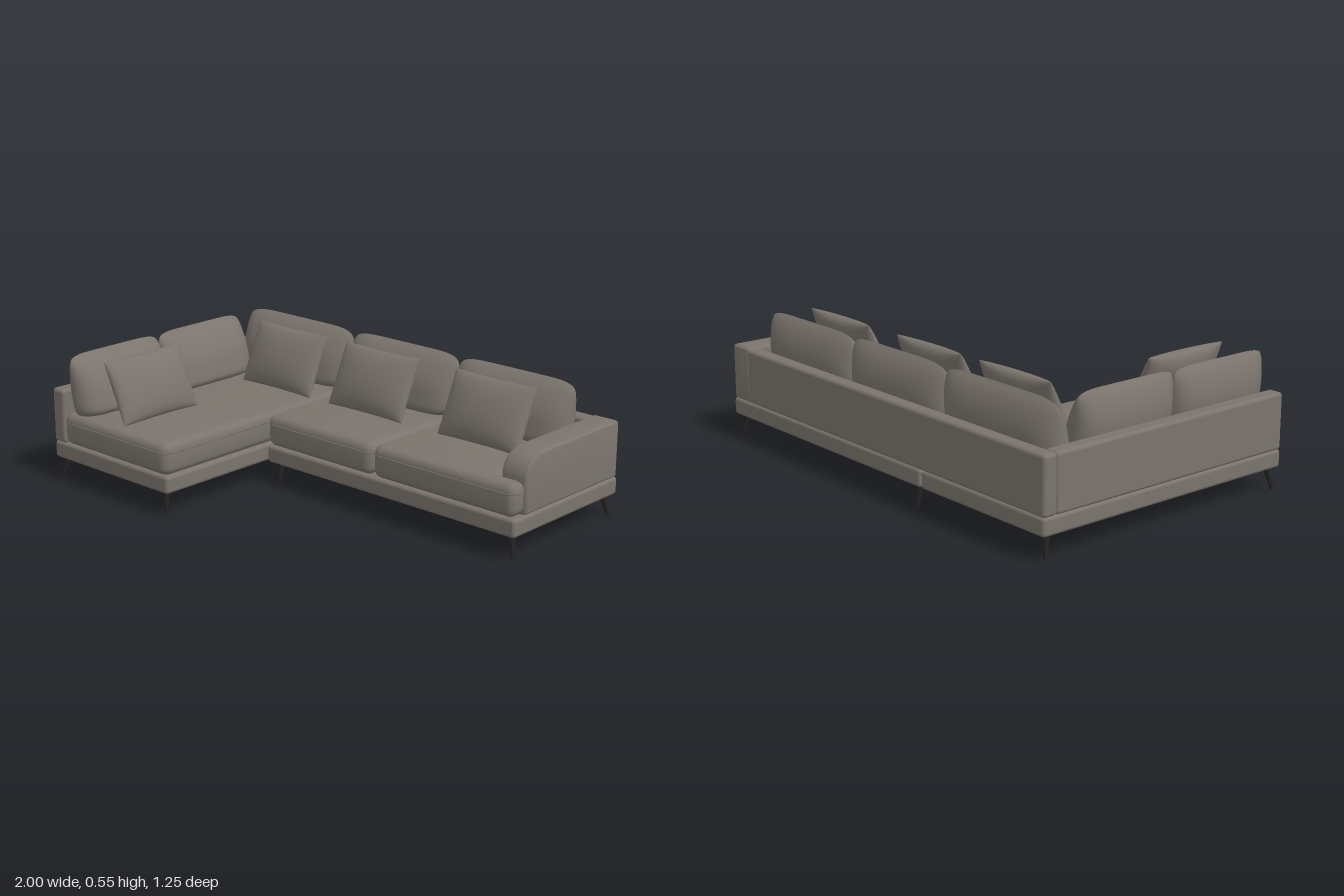
import * as THREE from 'three';
import { toCreasedNormals } from 'three/addons/utils/BufferGeometryUtils.js';
import { RoundedBoxGeometry } from 'three/addons/geometries/RoundedBoxGeometry.js';

const fabric = new THREE.MeshStandardMaterial({ color: 0x7b746d });
fabric.name = 'taupe fabric';
const legMetal = new THREE.MeshStandardMaterial({ color: 0x242322 });
legMetal.name = 'black metal';

export function createModel() {
  const model = new THREE.Group();
  model.name = 'cornerSofa';

  const add = (name, geometry, material = fabric) => {
    const mesh = new THREE.Mesh(geometry, material);
    mesh.name = name;
    model.add(mesh);
    return mesh;
  };

  // Rounded block given by its limits on each axis
  const block = (name, [x0, x1], [y0, y1], [z0, z1], r) => {
    const g = new RoundedBoxGeometry(x1 - x0, y1 - y0, z1 - z0, 3, r);
    add(name, g).position.set((x0 + x1) / 2, (y0 + y1) / 2, (z0 + z1) / 2);
  };

  // Polygon with a rounding radius per corner: [x, y, radius]
  const roundedShape = (corners) => {
    const shape = new THREE.Shape();
    const n = corners.length;
    corners.forEach(([x, y, r], i) => {
      const here = new THREE.Vector2(x, y);
      const toward = (c) => new THREE.Vector2(c[0], c[1]).sub(here).setLength(r).add(here);
      const a = toward(corners[(i + n - 1) % n]);
      const b = toward(corners[(i + 1) % n]);
      if (i === 0) shape.moveTo(a.x, a.y);
      else shape.lineTo(a.x, a.y);
      // cubic close to a circular arc
      const k = 0.55;
      const c1 = a.clone().lerp(here, k), c2 = b.clone().lerp(here, k);
      shape.bezierCurveTo(c1.x, c1.y, c2.x, c2.y, b.x, b.y);
    });
    shape.closePath();
    return shape;
  };

  const bevelled = (shape, depth, bevel) => new THREE.ExtrudeGeometry(shape, {
    depth: depth - 2 * bevel, bevelEnabled: true, bevelSize: bevel, bevelThickness: bevel,
    bevelOffset: -bevel, bevelSegments: 5, curveSegments: 8,
  }).translate(0, 0, bevel);

  // Seat cushion from a plan outline of [x, z, radius], with a piped seam round it
  const seat = (name, plan) => {
    const shape = roundedShape(plan.map(([x, z, r]) => [x, -z, r]));
    const g = bevelled(shape, 0.135, 0.035).rotateX(-Math.PI / 2).translate(0, 0.165, 0);
    add(name, toCreasedNormals(g, 0.7));
    const path = new THREE.CurvePath();
    const pts = shape.getPoints(6).map((p) => new THREE.Vector3(p.x, 0.262, -p.y));
    pts.forEach((p, i) => {
      const q = pts[(i + 1) % pts.length];
      if (p.distanceTo(q) > 1e-5) path.add(new THREE.LineCurve3(p, q));
    });
    add(name + 'Seam', new THREE.TubeGeometry(path, 160, 0.003, 5, true));
  };

  // Stuffed cushion: two bulged sheets meeting at a seam
  const cushionGeometry = (w, h, t, { corner, pinch, depthAt }) => {
    const N = 26, pos = [], index = [];
    for (const side of [1, -1]) {
      const base = pos.length / 3;
      for (let j = 0; j <= N; j++) {
        for (let i = 0; i <= N; i++) {
          const u = Math.sin((i / N - 0.5) * Math.PI), v = Math.sin((j / N - 0.5) * Math.PI);
          pos.push(
            (w / 2) * u * (1 - corner * v ** 8 - pinch * (1 - v * v)),
            (h / 2) * v * (1 - corner * (w / h) * u ** 8 - pinch * (1 - u * u)),
            side * (t / 2) * depthAt(u, v));
          if (i < N && j < N) {
            const a = base + j * (N + 1) + i, b = a + 1, c = b + N + 1, d = a + N + 1;
            if (side > 0) index.push(a, b, c, a, c, d);
            else index.push(a, c, b, a, d, c);
          }
        }
      }
    }
    const g = new THREE.BufferGeometry();
    g.setAttribute('position', new THREE.Float32BufferAttribute(pos, 3));
    g.setIndex(index);
    g.computeVertexNormals();
    return g;
  };
  const edge = (s, power) => Math.sqrt(Math.max(0, 1 - Math.abs(s) ** power));

  // Back cushions are full at the bottom and taper to a ridge at the top
  const backStyle = {
    corner: 0.06, pinch: 0,
    depthAt: (u, v) => {
      const taper = v < -0.3 ? 1 : Math.max(0, Math.cos(((v + 0.3) / 1.3) * Math.PI / 2)) ** 0.7;
      return edge(u, 5) * edge(v, 14) * taper;
    },
  };
  // Scatter pillows are plump in the middle with slightly drawn-in edges
  const pillowStyle = {
    corner: 0, pinch: 0.03,
    depthAt: (u, v) => Math.sqrt(Math.max(0, (1 - u * u) * (1 - v * v))) ** 0.9,
  };
  const cushion = (name, size, style, place, lean, turn = 0) => {
    const mesh = add(name, cushionGeometry(...size, style));
    mesh.position.set(...place);
    mesh.rotation.set(-lean, turn, 0, 'YXZ');
  };

  // Plinths
  block('chaiseBase', [-1, -0.3], [0.09, 0.165], [-0.625, 0.61], 0.015);
  block('sofaBase', [-0.295, 1], [0.09, 0.165], [-0.625, 0.05], 0.015);

  // Low back and side panels
  block('backPanel', [-1, 0.885], [0.162, 0.395], [-0.625, -0.56], 0.015);
  block('sidePanel', [-1, -0.93], [0.162, 0.395], [-0.565, 0.61], 0.015);

  // Armrest with a rounded front top corner
  const armShape = roundedShape([
    [-0.622, 0.163, 0.01], [-0.02, 0.163, 0.01], [-0.02, 0.4, 0.1], [-0.622, 0.4, 0.015],
  ]);
  const arm = bevelled(armShape, 0.122, 0.015).rotateY(-Math.PI / 2).translate(0.998, 0, 0);
  add('armrest', toCreasedNormals(arm, 0.7));

  // Seats; the last one wraps round the front of the armrest
  seat('chaiseSeat', [
    [-0.93, 0.618, 0.04], [-0.297, 0.618, 0.04], [-0.297, -0.56, 0.02], [-0.93, -0.56, 0.02],
  ]);
  seat('middleSeat', [
    [-0.293, 0.055, 0.04], [0.287, 0.055, 0.04], [0.287, -0.56, 0.02], [-0.293, -0.56, 0.02],
  ]);
  seat('endSeat', [
    [0.29, 0.055, 0.04], [0.99, 0.055, 0.03], [0.99, -0.025, 0.015],
    [0.876, -0.025, 0.015], [0.876, -0.56, 0.02], [0.29, -0.56, 0.02],
  ]);

  // Back cushions along the rear and the chaise side
  for (const [x0, x1] of [[-0.93, -0.298], [-0.295, 0.288], [0.29, 0.873]]) {
    cushion('backCushion', [x1 - x0, 0.27, 0.17], backStyle, [(x0 + x1) / 2, 0.42, -0.48], 0.15);
  }
  for (const [z0, z1] of [[-0.365, 0.118], [0.12, 0.608]]) {
    cushion('sideCushion', [z1 - z0, 0.27, 0.165], backStyle,
      [-0.857, 0.42, (z0 + z1) / 2], 0.22, Math.PI / 2);
  }

  // Scatter pillows leaning back
  for (const x of [-0.52, -0.005, 0.592]) {
    cushion('scatterPillow', [0.405, 0.275, 0.11], pillowStyle, [x, 0.425, -0.293], 0.43);
  }
  cushion('scatterPillow', [0.405, 0.275, 0.11], pillowStyle, [-0.658, 0.425, 0.36], 0.43, Math.PI / 2);

  // Tapered legs: top x, z and outward splay
  const legs = [
    [-0.96, 0.568, -0.02, 0.022], [-0.35, 0.568, 0.02, 0.022],
    [-0.96, -0.578, -0.02, -0.02], [-0.245, -0.578, 0, -0.02],
    [-0.245, 0.01, 0, 0.018], [0.29, -0.312, 0, 0.025],
    [0.96, 0.01, 0.02, 0.018], [0.96, -0.578, 0.02, -0.02],
  ];
  const up = new THREE.Vector3(0, 1, 0);
  for (const [x, z, dx, dz] of legs) {
    const axis = new THREE.Vector3(-dx, 0.095, -dz);
    const leg = add('leg', new THREE.CylinderGeometry(0.014, 0.008, axis.length(), 14), legMetal);
    leg.position.set(x + dx / 2, 0.049, z + dz / 2);
    leg.quaternion.setFromUnitVectors(up, axis.normalize());
  }

  return model;
}
